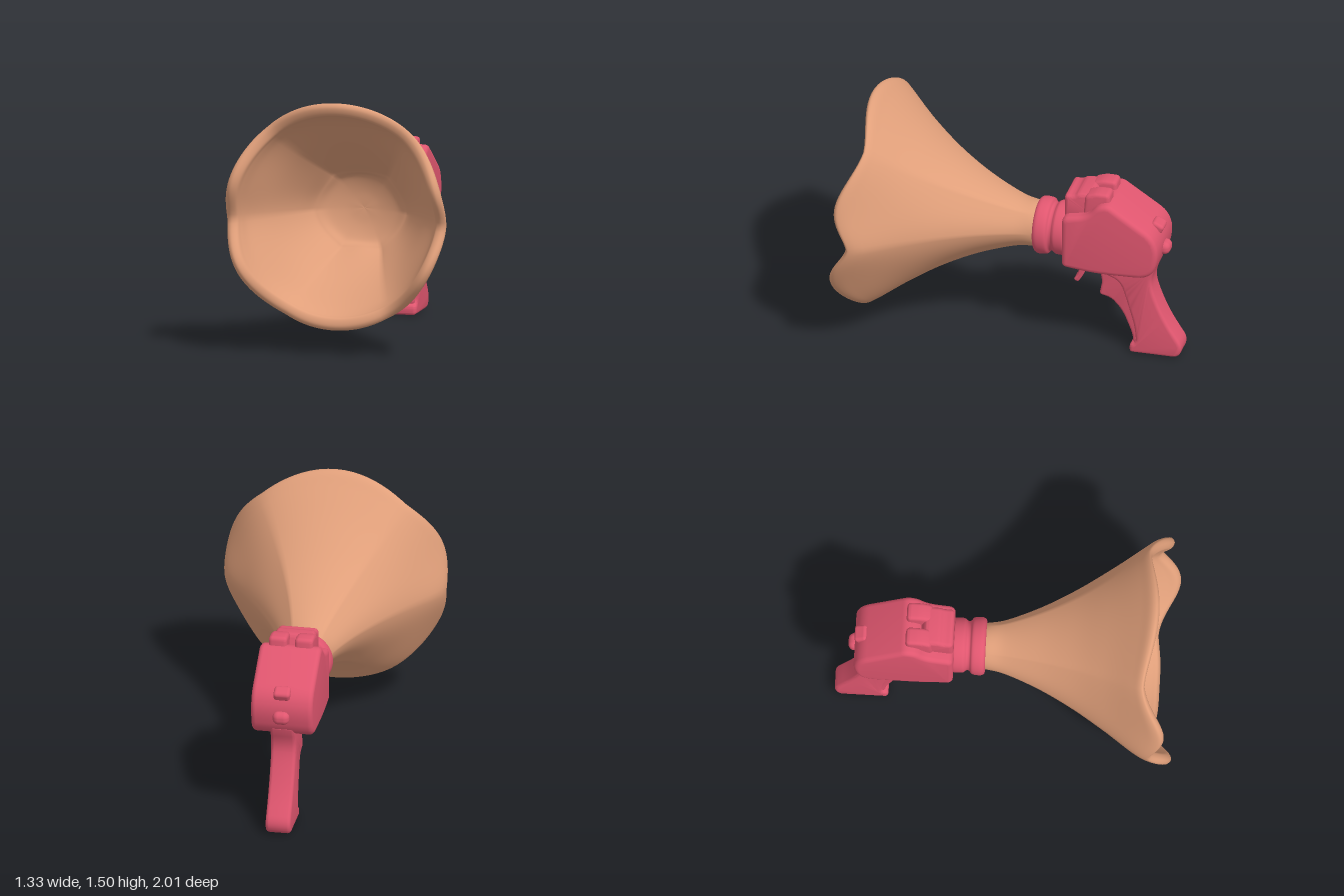
import * as THREE from 'three';
import { toCreasedNormals } from 'three/addons/utils/BufferGeometryUtils.js';
import { RoundedBoxGeometry } from 'three/addons/geometries/RoundedBoxGeometry.js';

const red = new THREE.MeshStandardMaterial({ color: 0xe0566f });
const tan = new THREE.MeshStandardMaterial({ color: 0xe09f7a });

function add(group, name, geometry, material = red) {
  const mesh = new THREE.Mesh(geometry, material);
  mesh.name = name;
  group.add(mesh);
  return mesh;
}

// Closed outline of [z, y, cornerRadius] points with rounded corners
function roundedShape(points, radius) {
  const shape = new THREE.Shape();
  const n = points.length;
  points.forEach(([z, y, r = radius], i) => {
    const p = new THREE.Vector2(z, y);
    const cut = (q) => {
      const d = new THREE.Vector2(q[0], q[1]).sub(p);
      return d.setLength(Math.min(r, d.length() * 0.48)).add(p);
    };
    const a = cut(points[(i + n - 1) % n]);
    const b = cut(points[(i + 1) % n]);
    if (i === 0) shape.moveTo(a.x, a.y);
    else shape.lineTo(a.x, a.y);
    shape.quadraticCurveTo(p.x, p.y, b.x, b.y);
  });
  shape.closePath();
  return shape;
}

// Side outline given a soft-edged thickness across x
function slab(points, halfWidth, radius, bevel) {
  const geometry = new THREE.ExtrudeGeometry(roundedShape(points, radius), {
    depth: 2 * (halfWidth - bevel), curveSegments: 6,
    bevelEnabled: true, bevelThickness: bevel, bevelSize: bevel, bevelOffset: -bevel, bevelSegments: 4,
  });
  geometry.translate(0, 0, bevel - halfWidth).rotateY(-Math.PI / 2);
  return toCreasedNormals(geometry, 0.7);
}

// Six-panelled horn: [z, radius, flatness] along the outside, over the lip and back inside
function hornGeometry() {
  const profile = new THREE.CatmullRomCurve3([
    [-0.16, 0.125, 0], [-0.12, 0.135, 0], [0, 0.165, 0.15], [0.2, 0.25, 0.18], [0.4, 0.36, 0.155],
    [0.6, 0.49, 0.09], [0.8, 0.63, 0.025], [0.87, 0.662, -0.015], [0.9, 0.665, -0.015],
    [0.915, 0.64, -0.015], [0.9, 0.607, 0], [0.86, 0.592, 0], [0.78, 0.565, 0.03],
    [0.6, 0.455, 0.09], [0.42, 0.35, 0.16], [0.32, 0.29, 0.2], [0.3, 0.265, 0.18],
    [0.26, 0.2, 0.06], [0.23, 0.1, 0], [0.22, 0.001, 0],
  ].map((p) => new THREE.Vector3(...p)), false, 'centripetal');
  const rows = 114, cols = 120, positions = [], index = [];
  for (let i = 0; i <= rows; i++) {
    const { x: z, y: radius, z: flat } = profile.getPoint(i / rows);
    const flare = Math.pow(Math.max(0, (z + 0.12) / 1.02), 5);
    for (let j = 0; j < cols; j++) {
      // Creases sit a little closer to the sides in the upper half
      const u = (j / cols) * Math.PI * 2;
      const su = Math.sin(u), cu = Math.cos(u);
      const t = u - (0.08 + 0.1 * su) * Math.sin(2 * u) - 0.06 * cu;
      // Section is partly a hexagon, partly an ellipse
      const panel = (1 - 0.866 / Math.cos(u % (Math.PI / 3) - Math.PI / 6)) / 0.134;
      const squash = 0.5 * panel * (0.4 + 0.6 * su * su) + 0.5 * su * su;
      const r = radius * (1 - flat * squash);
      // Wavy lip: a lobe on each panel, a dip at each crease
      const lobe = Math.pow(Math.abs(Math.sin(3 * u)), 1.5);
      const dip = -0.025 - 0.055 * Math.max(0, su) ** 2;
      const peak = -0.005 + cu * cu * (0.093 - 0.053 * su);
      positions.push(
        r * Math.cos(t),
        0.763 + 0.067 * z + r * Math.sin(t),
        z + flare * (dip + (peak - dip) * lobe),
      );
      if (i < rows) {
        const a = i * cols + j, b = i * cols + (j + 1) % cols;
        index.push(a, b, a + cols, b, b + cols, a + cols);
      }
    }
  }
  const geometry = new THREE.BufferGeometry();
  geometry.setAttribute('position', new THREE.Float32BufferAttribute(positions, 3));
  geometry.setIndex(index);
  geometry.computeVertexNormals();
  return geometry;
}

export function createModel() {
  const model = new THREE.Group();
  model.name = 'hornBlaster';

  add(model, 'horn', hornGeometry(), tan);

  // Stepped collar joining horn and body
  const collar = new THREE.SplineCurve([
    [0.4, 0.14], [0.31, 0.155], [0.295, 0.162], [0.25, 0.162], [0.235, 0.156], [0.222, 0.146],
    [0.205, 0.148], [0.19, 0.166], [0.16, 0.172], [0.13, 0.17], [0.113, 0.152], [0.115, 0.11],
  ].map(([d, r]) => new THREE.Vector2(r, -d))).getPoints(60);
  const collarMesh = add(model, 'collar', new THREE.LatheGeometry(collar, 48).rotateX(Math.PI / 2));
  collarMesh.position.y = 0.75;

  // Main housing with a sloping back
  add(model, 'body', slab([
    [-0.3, 0.585], [-0.3, 0.92, 0.04], [-0.45, 0.95, 0.06], [-0.52, 1.03, 0.04], [-0.585, 1.045], [-0.86, 0.865, 0.06],
    [-0.895, 0.75, 0.08], [-0.85, 0.58, 0.1], [-0.5, 0.565, 0.1],
  ], 0.185, 0.03, 0.03));

  // Raised block and twin prongs on top
  add(model, 'topBlock', slab([
    [-0.302, 0.85], [-0.302, 1.045], [-0.36, 1.045], [-0.385, 1.065], [-0.47, 1.07], [-0.53, 0.9],
  ], 0.12, 0.025, 0.025));
  for (const side of [-1, 1]) {
    const prong = add(model, side > 0 ? 'leftProng' : 'rightProng', slab([
      [-0.42, 0.93], [-0.43, 1.065], [-0.5, 1.09], [-0.58, 1.09], [-0.59, 0.95],
    ], 0.055, 0.025, 0.022));
    prong.position.x = side * 0.078;
  }

  // Rear sight and knob
  const sight = add(model, 'rearSight', new RoundedBoxGeometry(0.1, 0.06, 0.08, 4, 0.02));
  sight.position.set(0, 0.86, -0.845);
  sight.rotation.x = -0.45;
  const knob = add(model, 'rearKnob', new RoundedBoxGeometry(0.1, 0.08, 0.1, 4, 0.035));
  knob.position.set(0, 0.72, -0.873);

  // Handle: wide back strap with a flared foot, narrower finger side in front
  add(model, 'grip', slab([
    [-0.5, 0.62], [-0.53, 0.51], [-0.63, 0.47, 0.06], [-0.67, 0.34, 0.08], [-0.715, 0.18, 0.05],
    [-0.725, 0.075, 0.03], [-0.685, 0.055], [-0.685, 0], [-0.985, 0.005, 0.04], [-1.01, 0.08, 0.05],
    [-0.905, 0.24, 0.1], [-0.83, 0.42, 0.1], [-0.815, 0.52, 0.06], [-0.865, 0.64],
  ], 0.075, 0.02, 0.022));
  add(model, 'gripFront', slab([
    [-0.44, 0.6], [-0.5, 0.53, 0.03], [-0.515, 0.45], [-0.498, 0.36], [-0.57, 0.345, 0.03], [-0.64, 0.27, 0.06],
    [-0.7, 0.12, 0.05], [-0.705, 0.06], [-0.8, 0.06], [-0.75, 0.6],
  ], 0.06, 0.02, 0.016));

  // Trigger and its mount
  add(model, 'trigger', slab([
    [-0.33, 0.6], [-0.368, 0.55, 0.04], [-0.368, 0.47, 0.04], [-0.335, 0.425, 0.012], [-0.365, 0.41, 0.02],
    [-0.41, 0.49, 0.04], [-0.425, 0.56, 0.03], [-0.46, 0.6],
  ], 0.04, 0.02, 0.01));
  const mount = add(model, 'triggerMount', new RoundedBoxGeometry(0.15, 0.06, 0.46, 3, 0.025));
  mount.position.set(0, 0.58, -0.59);

  return model;
}
